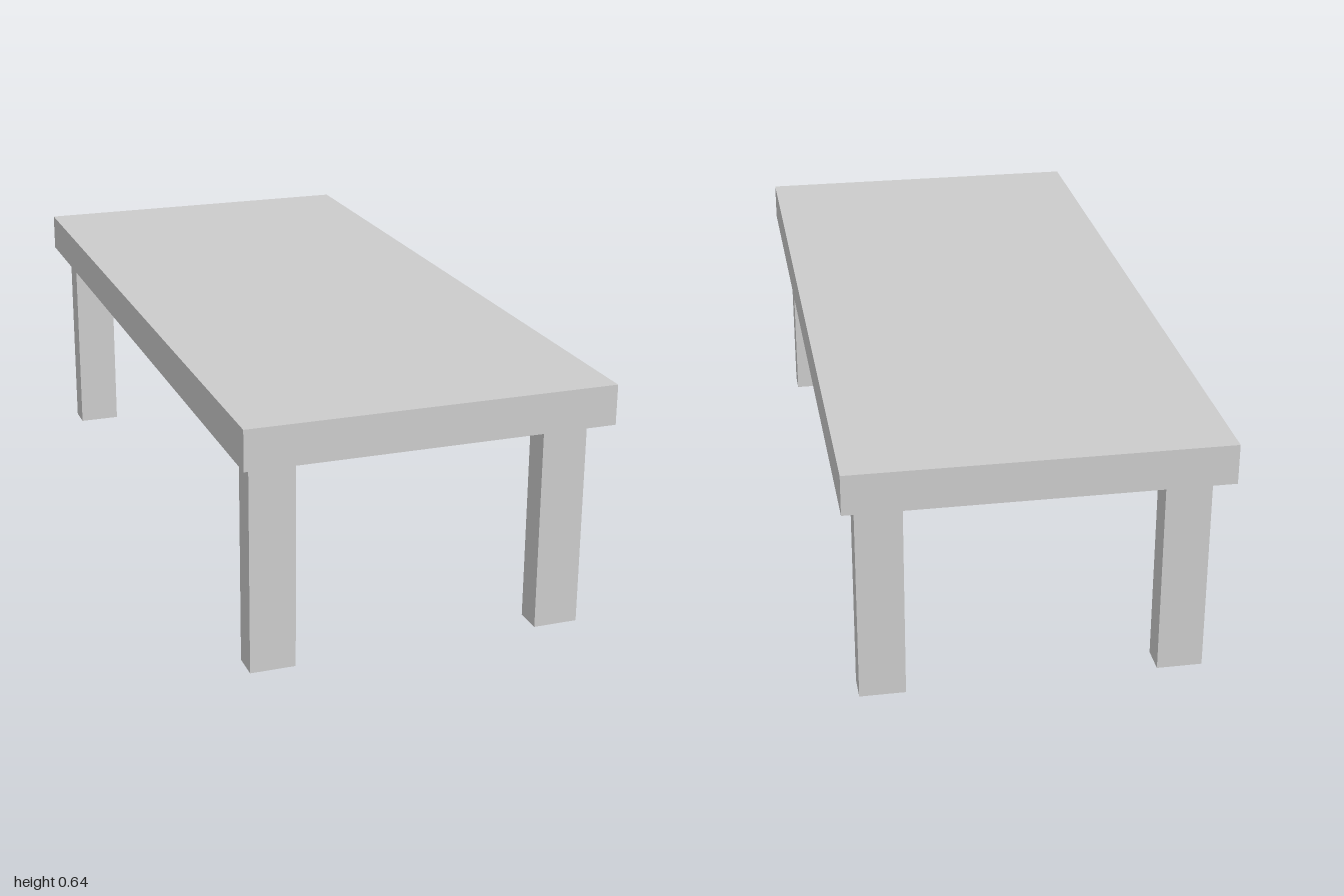
import * as THREE from 'three';

export function createModel() {
  const group = new THREE.Group();
  const material = new THREE.MeshStandardMaterial({ color: 0xcccccc, flatShading: true });

  const addBox = (name, size, position) => {
    const mesh = new THREE.Mesh(new THREE.BoxGeometry(...size), material);
    mesh.name = name;
    mesh.position.set(...position);
    group.add(mesh);
  };

  // Slab top
  const legHeight = 0.54, topThickness = 0.1;
  addBox('tableTop', [0.916, topThickness, 2], [0, legHeight + topThickness / 2, 0]);

  // Four rectangular legs, inset from the corners
  for (const [side, x] of [['Left', 0.366], ['Right', -0.368]]) {
    for (const [end, z] of [['front', 0.891], ['back', -0.886]]) {
      addBox(`${end}${side}Leg`, [0.113, legHeight, 0.071], [x, legHeight / 2, z]);
    }
  }
  return group;
}
